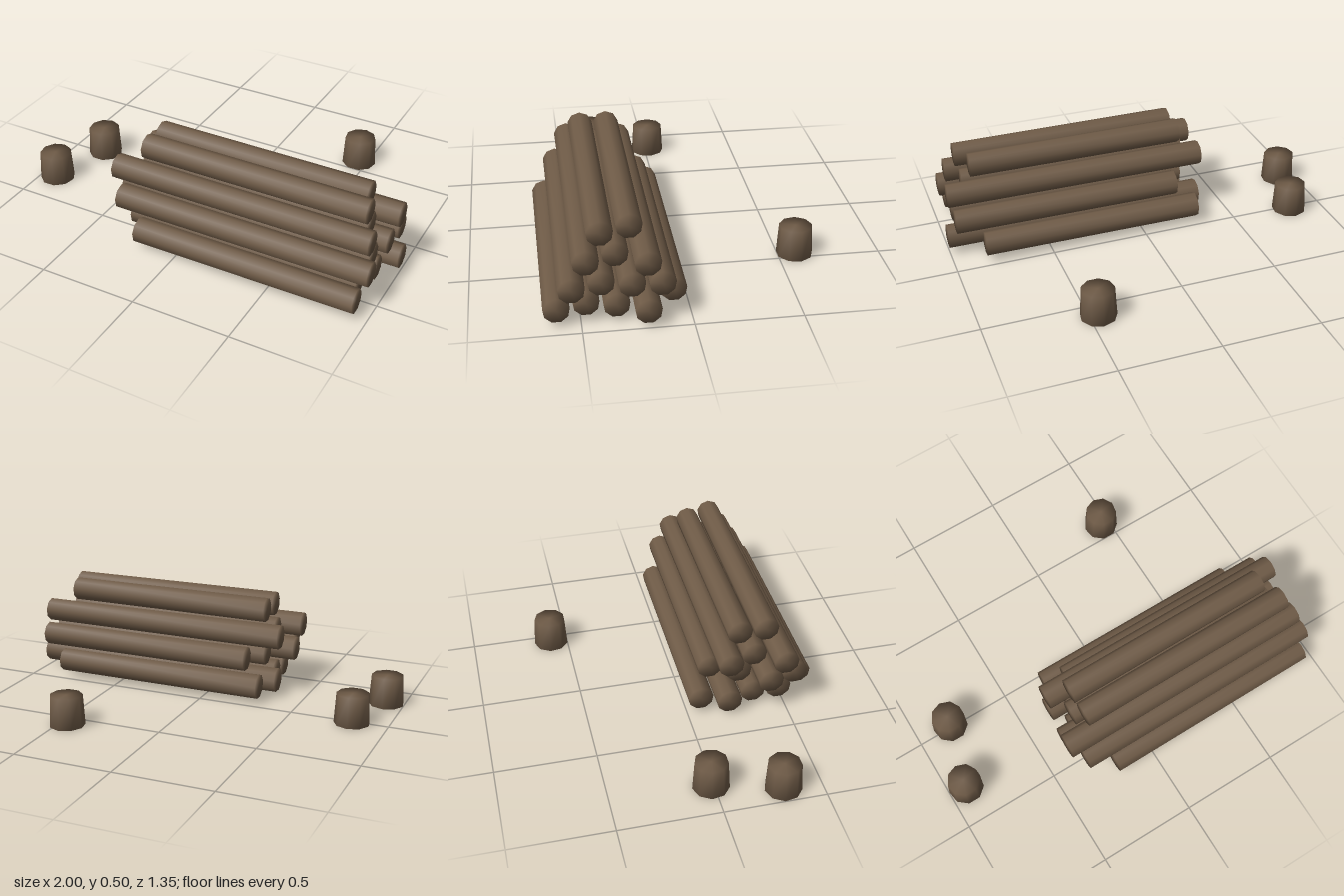
import * as THREE from 'three';
import { mergeVertices } from 'three/addons/utils/BufferGeometryUtils.js';

const SIDES = 9;

// Nine-sided tapered cylinder with normals shared between side and caps
function softCylinder(topRadius, bottomRadius, height, thetaStart) {
  const g = new THREE.CylinderGeometry(topRadius, bottomRadius, height, SIDES, 1, false, thetaStart);
  g.deleteAttribute('uv');
  g.deleteAttribute('normal');
  const merged = mergeVertices(g, 1e-4);
  merged.computeVertexNormals();
  return merged;
}

export function createModel() {
  const model = new THREE.Group();
  model.name = 'logPile';
  const bark = new THREE.MeshStandardMaterial({ color: 0x6f5b47 });
  bark.name = 'barkBrown';

  // Stacked logs: each row lists [left end x, right end x], from front to back
  const rows = [
    [[-0.205, 0.94], [-0.3, 0.9], [-0.3, 0.93], [-0.355, 1.0], [-0.3, 0.835]],
    [[-0.34, 0.975], [-0.385, 0.93], [-0.27, 0.96], [-0.205, 0.965]],
    [[-0.4, 0.945], [-0.3, 0.885], [-0.365, 0.985]],
    [[-0.265, 0.9], [-0.265, 0.85]],
  ];
  const stack = new THREE.Group();
  stack.name = 'logStack';
  rows.forEach((row, r) => row.forEach(([x0, x1], i) => {
    const geo = softCylinder(0.061, 0.064, x1 - x0, -Math.PI / 2);
    geo.rotateZ(-Math.PI / 2);
    const log = new THREE.Mesh(geo, bark);
    log.name = `log_${r + 1}_${i + 1}`;
    log.position.set((x0 + x1) / 2, 0.086 + r * 0.117, 0.61 + r * -0.0675 - i * 0.135);
    stack.add(log);
  }));
  model.add(stack);

  // Upright chopping stumps standing around the stack
  const stumpGeo = softCylinder(0.081, 0.09, 0.155, Math.PI);
  [[0.455, -0.585], [-0.82, -0.015], [-0.91, 0.312]].forEach(([x, z], i) => {
    const stump = new THREE.Mesh(stumpGeo, bark);
    stump.name = `stump_${i + 1}`;
    stump.position.set(x, 0.0775, z);
    model.add(stump);
  });

  return model;
}
